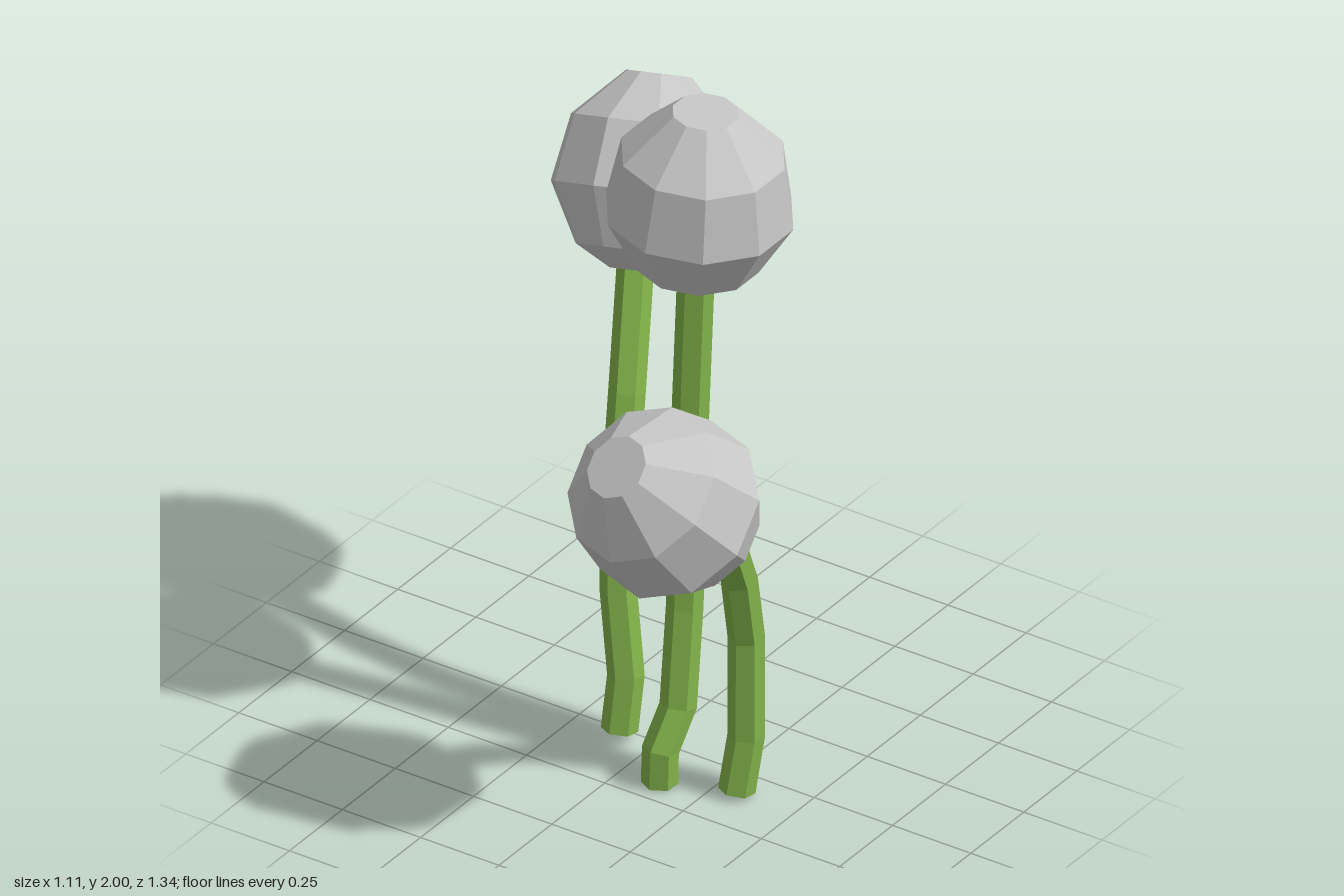
import * as THREE from 'three';

const green = new THREE.MeshStandardMaterial({ color: 0x82b34a, flatShading: true });
green.name = 'stemGreen';
const grey = new THREE.MeshStandardMaterial({ color: 0xc6c6c6, flatShading: true });
grey.name = 'headGrey';
const UP = new THREE.Vector3(0, 1, 0);

// Head profile from bottom to top: radius, height along the head's own axis
const headProfile = [[0, -0.263], [0.07, -0.263], [0.17, -0.21], [0.258, -0.053], [0.225, 0.13], [0.09, 0.262], [0, 0.262]]
  .map(([r, y]) => new THREE.Vector2(r, y));

// Each plant: stem path from the ground up, head centre and head axis
const plants = [
  {
    name: 'rightPlant', centre: [-0.315, 1.46, -0.415], axis: [-0.05, 0.22, -0.13],
    path: [[-0.095, 0.035, 0.04], [-0.095, 0.19, 0.01], [-0.14, 0.43, -0.02], [-0.165, 0.65, -0.06],
      [-0.2, 0.95, -0.15], [-0.265, 1.29, -0.29]],
  },
  {
    name: 'middlePlant', centre: [0.118, 1.738, -0.028], axis: [0.015, 0.26, 0],
    path: [[0.12, 0.01, 0.168], [0.12, 0.11, 0.165], [0.133, 0.22, 0.1], [0.12, 0.5, 0.05],
      [0.106, 0.95, 0.01], [0.11, 1.5, -0.018]],
  },
  {
    name: 'leftPlant', centre: [0.303, 1.07, 0.413], axis: [-0.035, 0.19, 0.18],
    path: [[0.32, 0.02, 0.1], [0.33, 0.18, 0.07], [0.325, 0.48, 0.062], [0.328, 0.68, 0.1],
      [0.33, 0.84, 0.165], [0.33, 0.95, 0.255]],
  },
];

// Bend a six-sided cylinder so that each of its rings sits on a path point
function stemGeometry(path) {
  const pts = path.map((p) => new THREE.Vector3(...p));
  const last = pts.length - 1;
  const geometry = new THREE.CylinderGeometry(0.05, 0.05, last, 6, last);
  const pos = geometry.attributes.position;
  const v = new THREE.Vector3();
  const q = new THREE.Quaternion();
  for (let i = 0; i < pos.count; i++) {
    v.fromBufferAttribute(pos, i);
    const k = Math.round(v.y + last / 2);
    const tangent = pts[Math.min(k + 1, last)].clone().sub(pts[Math.max(k - 1, 0)]).normalize();
    v.setY(0).applyQuaternion(q.setFromUnitVectors(UP, tangent)).add(pts[k]);
    pos.setXYZ(i, v.x, v.y, v.z);
  }
  geometry.computeVertexNormals();
  return geometry;
}

export function createModel() {
  const model = new THREE.Group();
  model.name = 'ballFlowers';
  for (const { name, path, centre, axis } of plants) {
    const plant = new THREE.Group();
    plant.name = name;

    const stem = new THREE.Mesh(stemGeometry(path), green);
    stem.name = 'stem';

    // Ten-sided round head, tipped along the end of its stem
    const head = new THREE.Mesh(new THREE.LatheGeometry(headProfile, 10), grey);
    head.name = 'flowerHead';
    head.position.set(...centre);
    head.quaternion.setFromUnitVectors(UP, new THREE.Vector3(...axis).normalize());

    plant.add(stem, head);
    model.add(plant);
  }
  return model;
}
